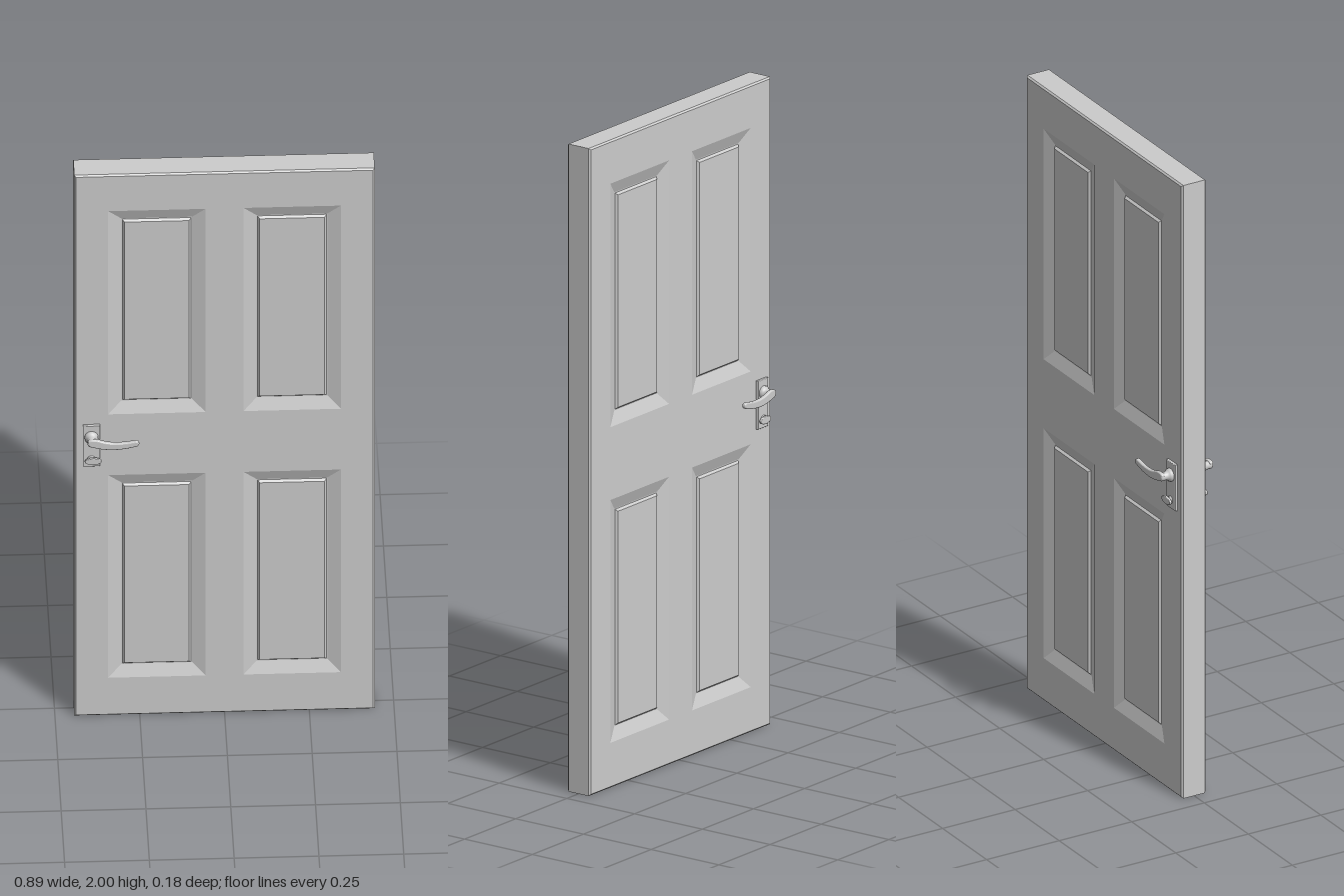
import * as THREE from 'three';

const W = 0.443, H = 2, T = 0.042, EDGE = 0.005;
const material = new THREE.MeshStandardMaterial({ color: 0xcccccc });

function add(parent, name, geometry, x = 0, y = 0, z = 0) {
  const mesh = new THREE.Mesh(geometry, material);
  mesh.name = name;
  mesh.position.set(x, y, z);
  parent.add(mesh);
  return mesh;
}

// Corners of a rectangle shrunk by an inset, counter-clockwise from the front
function corners([x0, x1, y0, y1], inset, z) {
  const [a, b, c, d] = [x0 + inset, x1 - inset, y0 + inset, y1 - inset];
  return [[a, c, z], [b, c, z], [b, d, z], [a, d, z]];
}

// Flat-shaded bands between successive rectangles [inset, z], optionally capped
function loft(rect, steps, cap) {
  const loops = steps.map(([inset, z]) => corners(rect, inset, z));
  const pos = [];
  const quad = (a, b, c, d) => pos.push(...a, ...b, ...c, ...a, ...c, ...d);
  for (let k = 0; k + 1 < loops.length; k++) {
    for (let i = 0; i < 4; i++) {
      const j = (i + 1) % 4;
      quad(loops[k][i], loops[k][j], loops[k + 1][j], loops[k + 1][i]);
    }
  }
  if (cap) quad(...loops[loops.length - 1]);
  const geometry = new THREE.BufferGeometry();
  geometry.setAttribute('position', new THREE.Float32BufferAttribute(pos, 3));
  geometry.computeVertexNormals();
  return geometry;
}

const outline = (rect, inset, Type) =>
  new Type(corners(rect, inset, 0).map(([x, y]) => new THREE.Vector2(x, y)));

// One face of the door: flat frame with four recessed, raised-field panels
function createFace(name) {
  const face = new THREE.Group();
  face.name = name;
  const frame = outline([-W, W, 0, H], EDGE, THREE.Shape);
  for (const [x0, x1] of [[-0.343, -0.056], [0.056, 0.343]]) {
    for (const [y0, y1] of [[0.14, 0.89], [1.115, 1.867]]) {
      const rect = [x0, x1, y0, y1];
      frame.holes.push(outline(rect, 0, THREE.Path));
      add(face, 'panel', loft(rect,
        [[0, T], [0.039, T - 0.015], [0.042, T - 0.015], [0.048, T - 0.008]], true));
    }
  }
  add(face, 'frame', new THREE.ShapeGeometry(frame), 0, 0, T);
  return face;
}

// Extruded shape with rounded edges, centred in depth
function slab(shape, depth, bevel) {
  return new THREE.ExtrudeGeometry(shape, {
    depth: depth - 2 * bevel, bevelThickness: bevel, bevelSize: bevel,
    bevelOffset: -bevel, bevelSegments: 3, curveSegments: 12,
  }).translate(0, 0, bevel - depth / 2);
}

// Lever set; side is +1 for the front and -1 for the back
function createHandle(name, side) {
  const handle = new THREE.Group();
  handle.name = name;
  const X = -0.393;
  const turned = (profile) => new THREE.LatheGeometry(
    profile.map(([r, y]) => new THREE.Vector2(r, y)), 24).rotateX(side * Math.PI / 2);

  const plate = outline([-0.025, 0.025, -0.075, 0.075], 0, THREE.Shape);
  add(handle, 'backPlate', slab(plate, 0.01, 0.002), X, 1.005, side * (T + 0.004));

  // Flared neck carrying the lever
  add(handle, 'neck', turned([[0.02, 0], [0.02, 0.008], [0.016, 0.011], [0.0125, 0.018],
    [0.0125, 0.036], [0.0105, 0.039], [0, 0.039]]), X, 1.04, side * 0.05);

  // Curved lever dipping in the middle and lifting at the tip
  const lever = new THREE.Shape();
  lever.moveTo(-0.405, 1.047);
  lever.bezierCurveTo(-0.405, 1.056, -0.385, 1.057, -0.37, 1.051);
  lever.bezierCurveTo(-0.34, 1.038, -0.305, 1.038, -0.263, 1.047);
  lever.bezierCurveTo(-0.25, 1.047, -0.25, 1.03, -0.262, 1.028);
  lever.bezierCurveTo(-0.305, 1.015, -0.345, 1.013, -0.385, 1.026);
  lever.bezierCurveTo(-0.4, 1.03, -0.405, 1.035, -0.405, 1.047);
  add(handle, 'lever', slab(lever, 0.013, 0.004), 0, 0, side * 0.0835);

  // Thumb turn below the lever
  add(handle, 'turnStem', turned([[0.012, 0], [0.012, 0.004], [0.007, 0.006], [0.007, 0.012]]),
    X, 0.958, side * 0.05);
  const oval = new THREE.Shape();
  oval.absellipse(0, 0, 0.025, 0.012, 0, Math.PI * 2);
  add(handle, 'thumbTurn', slab(oval, 0.008, 0.002), X + 0.005, 0.958, side * 0.062);
  return handle;
}

export function createModel() {
  const door = new THREE.Group();
  door.name = 'door';
  // Outer edge with a narrow chamfer on both faces
  add(door, 'doorEdge', loft([-W, W, 0, H],
    [[EDGE, -T], [0, EDGE - T], [0, T - EDGE], [EDGE, T]], false));
  const back = createFace('backFace');
  back.rotation.y = Math.PI;
  door.add(createFace('frontFace'), back,
    createHandle('frontHandle', 1), createHandle('backHandle', -1));
  return door;
}
